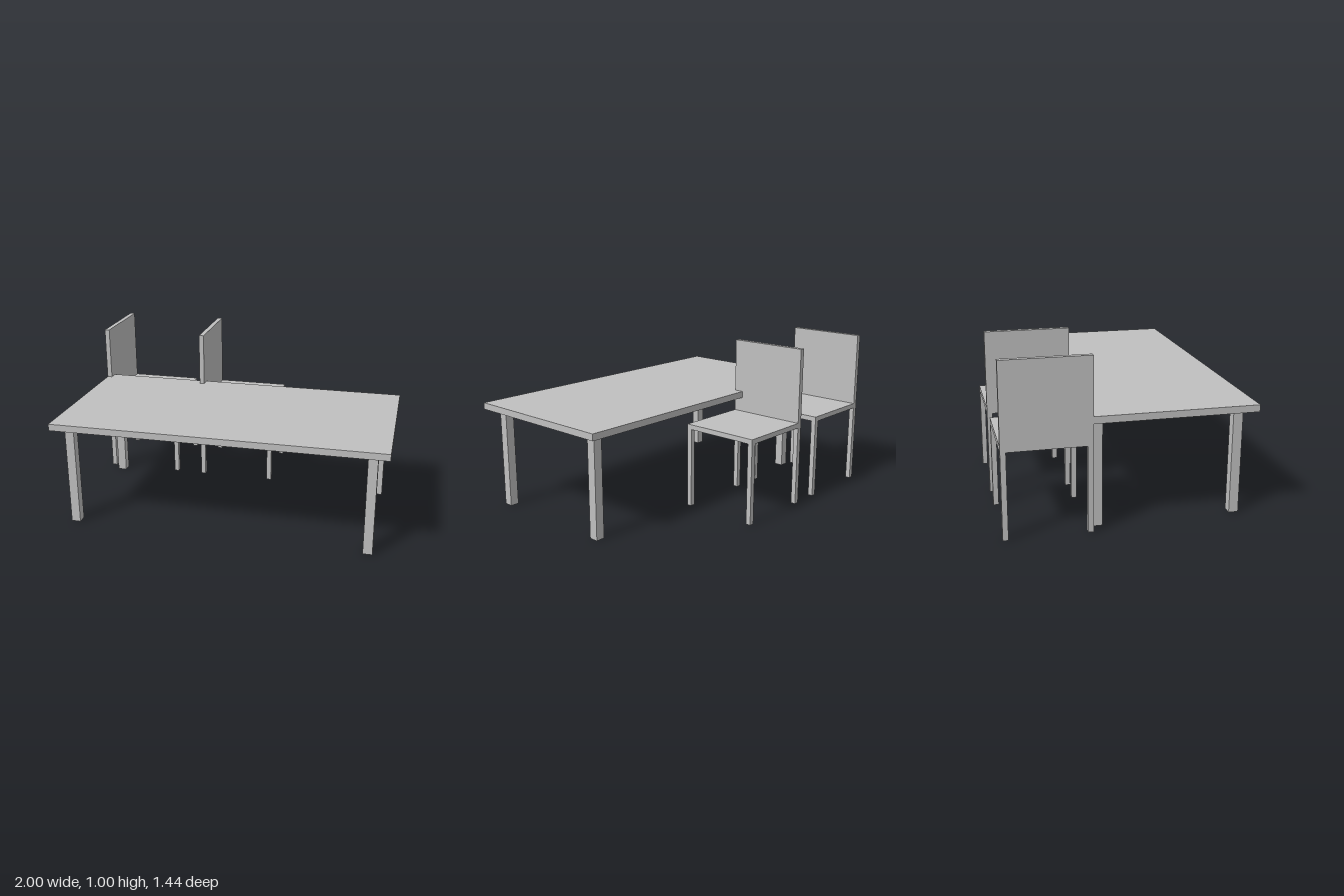
import * as THREE from 'three';

const grey = new THREE.MeshStandardMaterial({ color: 0xc0c0c0 });
grey.name = 'light grey';

// Adds a box given by its minimum and maximum extents
function addBox(parent, name, [x0, x1], [y0, y1], [z0, z1]) {
  const mesh = new THREE.Mesh(new THREE.BoxGeometry(x1 - x0, y1 - y0, z1 - z0), grey);
  mesh.name = name;
  mesh.position.set((x0 + x1) / 2, (y0 + y1) / 2, (z0 + z1) / 2);
  parent.add(mesh);
}

// Rectangular top on four square legs set in from its corners
function createTable() {
  const table = new THREE.Group();
  table.name = 'table';
  addBox(table, 'tableTop', [-1, 1], [0.625, 0.666], [-0.5, 0.5]);
  for (const x of [-0.903, 0.903]) {
    for (const z of [-0.403, 0.403]) {
      addBox(table, 'tableLeg', [x - 0.028, x + 0.028], [0, 0.625], [z - 0.028, z + 0.028]);
    }
  }
  return table;
}

// Square chair with its backrest on the -x side
function createChair() {
  const chair = new THREE.Group();
  chair.name = 'chair';
  const size = 0.25, t = 0.031, seatTop = 0.534, seatBottom = 0.503;
  addBox(chair, 'seat', [-size, size], [seatBottom, seatTop], [-size, size]);
  addBox(chair, 'backrest', [-size, -size + t], [seatTop, 1], [-size, size]);
  for (const x of [-size, size - t]) {
    for (const z of [-size, size - t]) {
      addBox(chair, 'chairLeg', [x, x + t], [0, seatBottom], [z, z + t]);
    }
  }
  return chair;
}

export function createModel() {
  const model = new THREE.Group();
  model.name = 'diningSet';

  const table = createTable();
  table.position.z = 0.22;
  model.add(table);

  // Two chairs along the back edge
  for (const x of [-0.75, -0.085]) {
    const chair = createChair();
    chair.position.set(x, 0, -0.47);
    model.add(chair);
  }
  return model;
}
